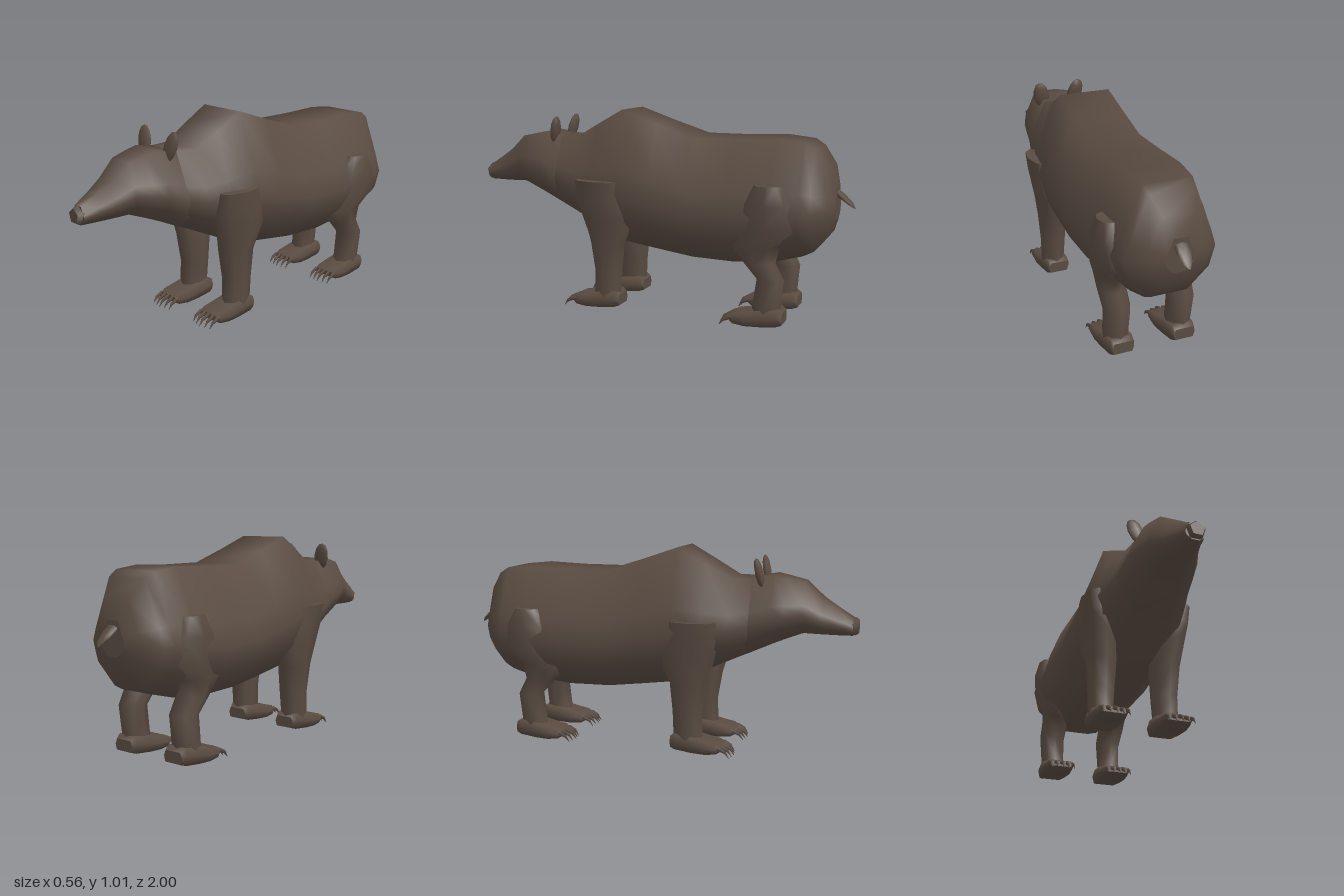
import * as THREE from 'three';

const fur = new THREE.MeshStandardMaterial({ color: 0x594b41 });
fur.name = 'dark brown fur';

// Skin a list of closed rings (arrays of [x, y, z]) and cap both ends.
function loft(name, rings) {
  const n = rings[0].length, pos = [], idx = [];
  rings.forEach(r => r.forEach(p => pos.push(...p)));
  for (let i = 0; i < rings.length - 1; i++) {
    for (let j = 0; j < n; j++) {
      const a = i * n + j, b = i * n + (j + 1) % n;
      idx.push(a, b, a + n, b, b + n, a + n);
    }
  }
  [rings[0], rings[rings.length - 1]].forEach((r, end) => {
    const base = pos.length / 3;
    r.forEach(p => pos.push(...p));
    for (let j = 1; j < n - 1; j++) {
      if (end) idx.push(base, base + j, base + j + 1);
      else idx.push(base, base + j + 1, base + j);
    }
  });
  // Turn the faces outward if the rings ran the other way
  let volume = 0;
  const v = k => new THREE.Vector3().fromArray(pos, idx[k] * 3);
  for (let k = 0; k < idx.length; k += 3) volume += v(k).dot(v(k + 1).cross(v(k + 2)));
  if (volume < 0) idx.reverse();
  const g = new THREE.BufferGeometry();
  g.setAttribute('position', new THREE.Float32BufferAttribute(pos, 3));
  g.setIndex(idx);
  g.computeVertexNormals();
  const mesh = new THREE.Mesh(g, fur);
  mesh.name = name;
  return mesh;
}

// Trunk cross-section: share of half width, share of height
const half = [[0.5, 1], [0.88, 0.57], [1, 0.4], [0.88, 0.2], [0.4, 0]];
const section = [...half, ...half.map(([x, y]) => [-x, y]).reverse()];

// z, bottom, top, half width
const trunk = [
  [-0.92, 0.52, 0.68, 0.07], [-0.895, 0.45, 0.77, 0.15], [-0.83, 0.37, 0.855, 0.22],
  [-0.78, 0.345, 0.885, 0.238], [-0.65, 0.31, 0.898, 0.257], [-0.45, 0.29, 0.89, 0.264],
  [-0.23, 0.295, 0.89, 0.264], [-0.04, 0.32, 0.95, 0.263], [0.14, 0.345, 1.012, 0.258],
  [0.28, 0.41, 0.935, 0.24], [0.4, 0.465, 0.868, 0.208], [0.5, 0.51, 0.868, 0.182],
];
const head = [
  [0.48, 0.5, 0.865, 0.185], [0.6, 0.555, 0.885, 0.168], [0.66, 0.58, 0.873, 0.155],
  [0.745, 0.612, 0.855, 0.122], [0.83, 0.608, 0.78, 0.09], [0.9, 0.606, 0.735, 0.064],
  [0.975, 0.606, 0.69, 0.047],
];
const trunkRings = rows => rows.map(([z, lo, hi, w]) =>
  section.map(([x, y]) => [x * w - 0.005, lo + (hi - lo) * y, z]));

// Octagonal leg ring: y, inner x, outer x, back z, front z
const legRing = (s, [y, xi, xo, zb, zf]) => Array.from({ length: 8 }, (_, i) => {
  const a = i * Math.PI / 4;
  return [s * ((xi + xo) / 2 + Math.cos(a) * (xo - xi) / 2), y,
    (zb + zf) / 2 + Math.sin(a) * (zf - zb) / 2];
});
const frontLeg = [
  [0.05, 0.1, 0.222, 0.13, 0.28], [0.1, 0.1, 0.225, 0.13, 0.28], [0.2, 0.093, 0.228, 0.125, 0.275],
  [0.35, 0.085, 0.24, 0.11, 0.3], [0.48, 0.1, 0.26, 0.05, 0.34],
  [0.57, 0.13, 0.27, 0.075, 0.36], [0.665, 0.17, 0.277, 0.11, 0.355],
];
const rearLeg = [
  [0.05, 0.1, 0.22, -0.7, -0.56], [0.1, 0.1, 0.222, -0.7, -0.56], [0.24, 0.095, 0.23, -0.712, -0.58],
  [0.32, 0.093, 0.235, -0.67, -0.505], [0.4, 0.095, 0.245, -0.69, -0.435],
  [0.48, 0.1, 0.26, -0.79, -0.47], [0.6, 0.13, 0.278, -0.76, -0.51], [0.69, 0.16, 0.255, -0.7, -0.57],
];

// Foot profile from the heel: z, half width, bottom, top
const footRows = [
  [0, 0.055, 0.03, 0.085], [0.025, 0.066, 0.022, 0.102], [0.11, 0.074, 0.014, 0.093],
  [0.18, 0.079, 0.012, 0.075], [0.235, 0.075, 0.018, 0.066], [0.255, 0.062, 0.028, 0.055],
];
const footSection = [[-0.8, 1], [0.8, 1], [1, 0.5], [0.85, 0], [-0.85, 0], [-1, 0.5]];

function foot(name, s, heelZ) {
  const g = new THREE.Group();
  g.name = name;
  g.add(loft('paw', footRows.map(([z, w, lo, hi]) =>
    footSection.map(([x, y]) => [s * 0.157 + x * w, lo + (hi - lo) * y, heelZ + z]))));
  // Five curved, tapering claws
  const path = [[0.225, 0.045, 0.009], [0.26, 0.048, 0.01], [0.295, 0.032, 0.007], [0.315, 0.005, 0.001]];
  for (let i = -2; i <= 2; i++) {
    const cx = s * 0.157 + i * 0.031, back = Math.abs(i) * 0.006;
    g.add(loft('claw', path.map(([z, y, r]) => Array.from({ length: 5 }, (_, k) => {
      const a = k * Math.PI * 2 / 5;
      return [cx + Math.cos(a) * r * 0.8, y + Math.sin(a) * r, heelZ + z - back + Math.sin(a) * r * 0.6];
    }))));
  }
  return g;
}

export function createModel() {
  const model = new THREE.Group();
  model.name = 'bear';
  model.add(loft('body', trunkRings(trunk)), loft('head', trunkRings(head)));

  // Five-sided nose
  const ring = (z, r) => Array.from({ length: 5 }, (_, i) => {
    const a = Math.PI / 2 + i * Math.PI * 2 / 5;
    return [-0.005 + Math.cos(a) * r, 0.648 + Math.sin(a) * r, z];
  });
  model.add(loft('nose', [ring(0.95, 0.042), ring(0.985, 0.046), ring(1, 0.036)]));

  // Stubby drooping tail: z, y, radius
  const tail = [[-0.88, 0.66, 0.022], [-0.92, 0.642, 0.033], [-0.96, 0.615, 0.033],
    [-0.988, 0.592, 0.022], [-1, 0.577, 0.006]];
  model.add(loft('tail', tail.map(([z, y, r]) => Array.from({ length: 7 }, (_, i) => {
    const a = i * Math.PI * 2 / 7;
    return [-0.005 + Math.cos(a) * r, y + Math.sin(a) * r * 0.85, z + Math.sin(a) * r * 0.45];
  }))));

  for (const s of [1, -1]) {
    const side = s > 0 ? 'left' : 'right';
    model.add(loft(side + 'FrontLeg', frontLeg.map(r => legRing(s, r))));
    model.add(loft(side + 'RearLeg', rearLeg.map(r => legRing(s, r))));
    model.add(foot(side + 'FrontFoot', s, 0.125), foot(side + 'RearFoot', s, -0.715));

    // Upright oval ear, leaning outward and back
    const ear = new THREE.Mesh(new THREE.SphereGeometry(1, 8, 6), fur);
    ear.name = side + 'Ear';
    ear.scale.set(0.043, 0.076, 0.02);
    ear.position.set(s * 0.097 - 0.007, 0.895, 0.535);
    ear.rotation.set(-0.2, 0, -s * 0.25);
    model.add(ear);
  }
  return model;
}
